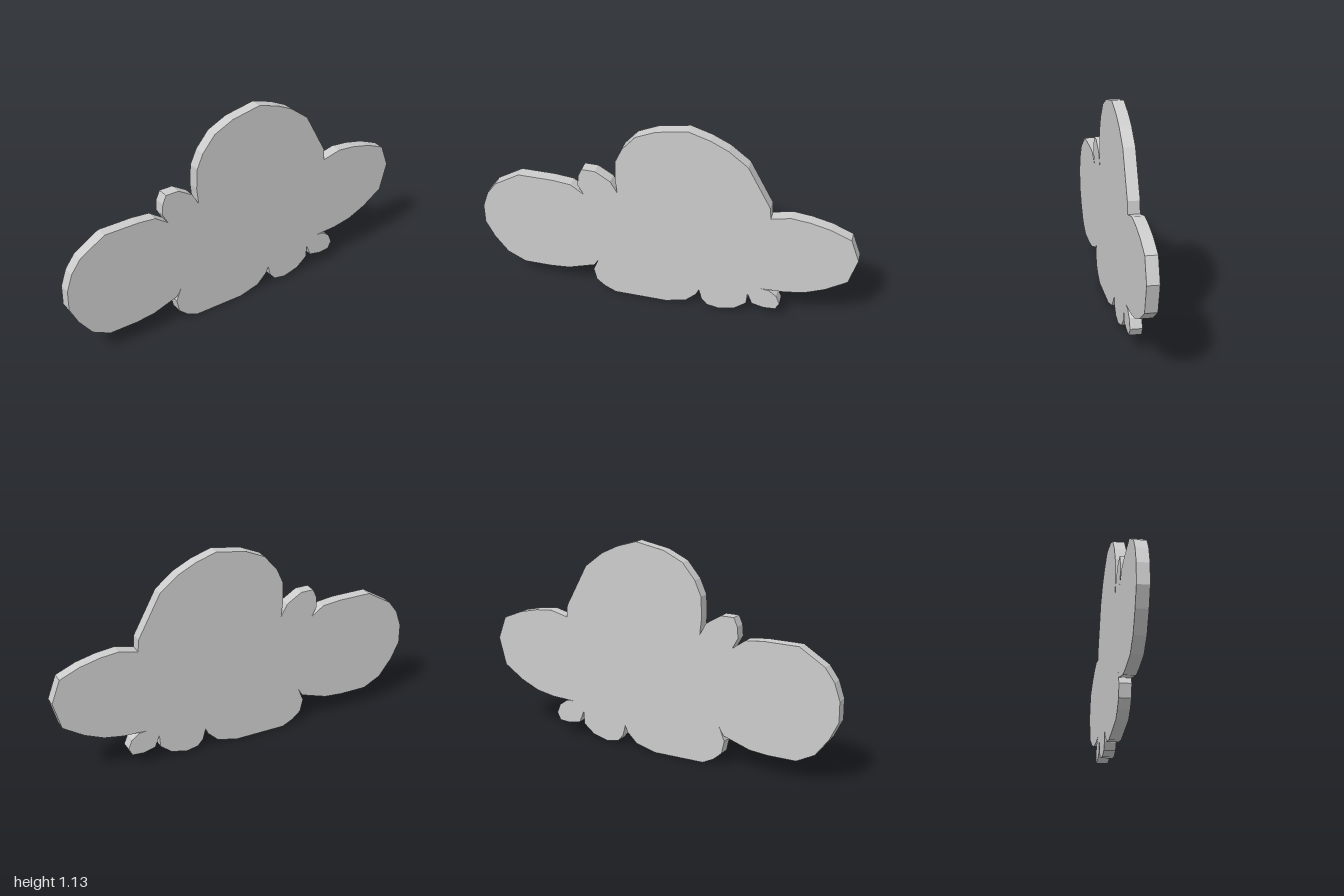
import * as THREE from 'three';

// Outline of each puff of the cloud, clockwise, [x, y] pairs; each ends in a crease
const LOBES = {
  left: [[-0.955, 0.255], [-1, 0.35], [-1, 0.46], [-0.97, 0.55], [-0.92, 0.62], [-0.785, 0.705], [-0.6, 0.705], [-0.505, 0.695], [-0.435, 0.645]],
  smallTop: [[-0.465, 0.7], [-0.46, 0.76], [-0.44, 0.805], [-0.37, 0.805], [-0.29, 0.755], [-0.255, 0.69]],
  dome: [[-0.265, 0.78], [-0.26, 0.89], [-0.225, 0.97], [-0.155, 1.055], [-0.05, 1.105], [0.11, 1.135], [0.22, 1.1], [0.31, 1.055], [0.41, 0.975], [0.47, 0.86], [0.53, 0.745], [0.535, 0.68]],
  right: [[0.635, 0.705], [0.73, 0.695], [0.835, 0.67], [0.94, 0.625], [0.985, 0.5], [0.945, 0.35], [0.835, 0.275], [0.735, 0.23], [0.63, 0.21], [0.505, 0.205]],
  tinyBottom: [[0.55, 0.2], [0.59, 0.17], [0.61, 0.12], [0.59, 0.08], [0.53, 0.075], [0.465, 0.09], [0.44, 0.155]],
  smallBottom: [[0.435, 0.085], [0.375, 0.035], [0.29, 0.012], [0.225, 0.025], [0.195, 0.06], [0.18, 0.12]],
  bottom: [[0.165, 0.085], [0.11, 0.03], [0, 0], [-0.28, 0], [-0.34, 0.03], [-0.385, 0.07], [-0.4, 0.14], [-0.37, 0.215]],
  leftUnderside: [[-0.395, 0.17], [-0.54, 0.12], [-0.64, 0.11], [-0.79, 0.11], [-0.885, 0.16]],
};

const THICKNESS = 0.062;
const TURN = 0.231; // the slab is turned about the vertical axis

export function createModel() {
  const group = new THREE.Group();
  group.name = 'cloud';

  // Undo the foreshortening of the turned slab so the outline fits its own plane
  const shift = Math.sin(TURN) * THICKNESS / 2;
  const points = Object.values(LOBES).flat()
    .map(([x, y]) => new THREE.Vector2((x + shift) / Math.cos(TURN), y));

  const geometry = new THREE.ExtrudeGeometry(new THREE.Shape(points), {
    depth: THICKNESS, bevelEnabled: false,
  });
  geometry.translate(0, 0, -THICKNESS / 2);

  const slab = new THREE.Mesh(geometry, new THREE.MeshStandardMaterial({ color: 0xcccccc, flatShading: true }));
  slab.name = 'cloudSlab';
  slab.rotation.y = -TURN;
  group.add(slab);
  return group;
}
